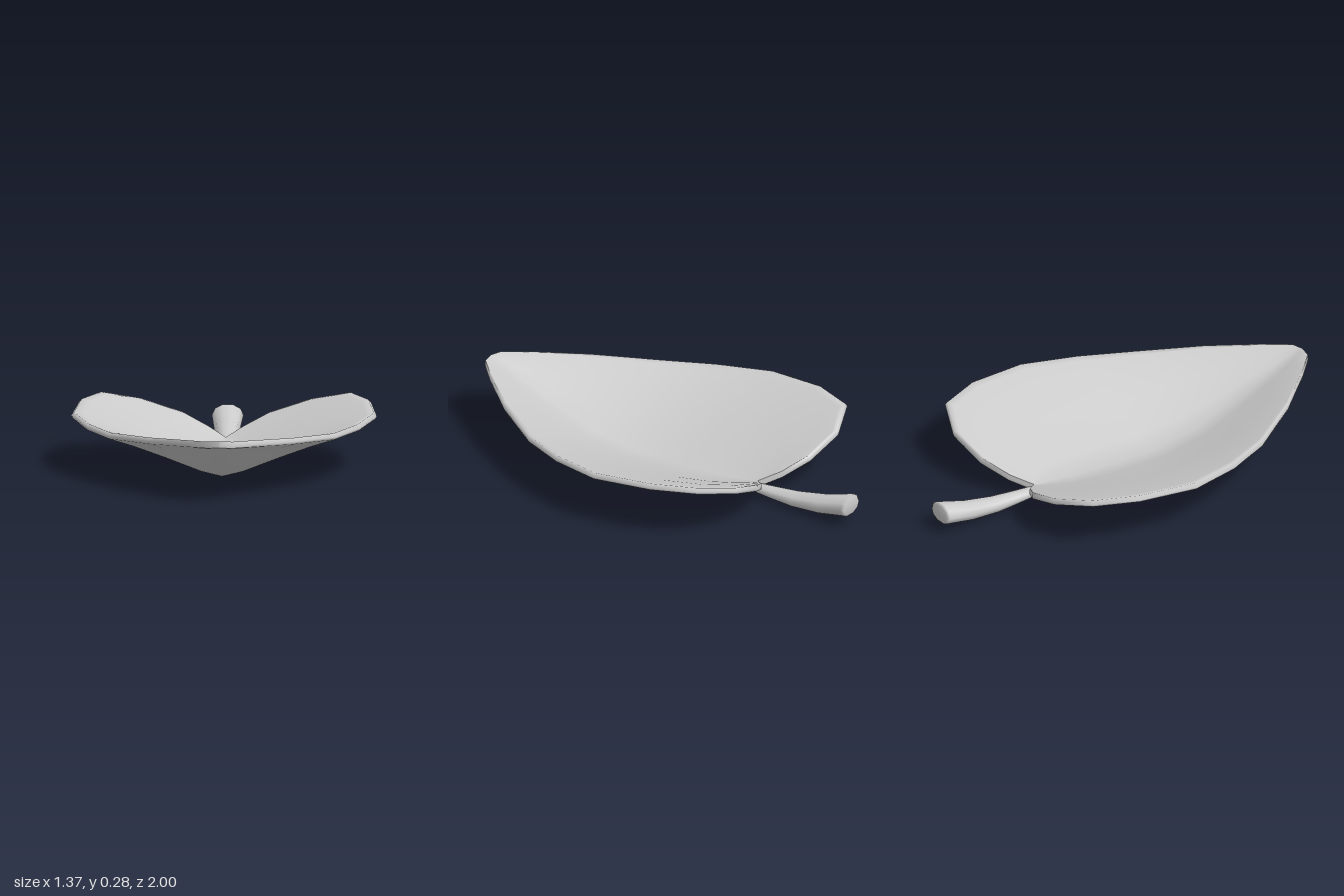
import * as THREE from 'three';

// Skins a list of closed loops, each ordered anticlockwise as seen from +z.
function loft(loops) {
  const n = loops[0].length, index = [];
  for (let i = 0; i < loops.length - 1; i++) {
    for (let j = 0; j < n; j++) {
      const k = (j + 1) % n;
      const a = i * n + j, b = i * n + k, c = a + n, d = b + n;
      index.push(a, b, c, b, d, c);
    }
  }
  const geometry = new THREE.BufferGeometry();
  geometry.setAttribute('position', new THREE.Float32BufferAttribute(loops.flat(2), 3));
  geometry.setIndex(index);
  geometry.computeVertexNormals();
  return geometry;
}

// From notch to tip: rim x, rim z, rim y, midrib z, midrib y
const ribs = [
  [0, -0.48, 0.04, -0.48, 0.04],
  [0.08, -0.56, 0.08, -0.46, 0.035],
  [0.2, -0.63, 0.135, -0.42, 0.03],
  [0.39, -0.645, 0.195, -0.36, 0.025],
  [0.57, -0.56, 0.238, -0.28, 0.018],
  [0.655, -0.36, 0.237, -0.17, 0.012],
  [0.685, -0.07, 0.222, -0.02, 0.006],
  [0.615, 0.19, 0.21, 0.17, 0],
  [0.51, 0.42, 0.205, 0.42, 0.035],
  [0.33, 0.69, 0.225, 0.7, 0.13],
  [0.15, 0.9, 0.245, 0.9, 0.21],
  [0.06, 0.99, 0.252, 0.985, 0.25],
  [0, 1, 0.255, 1, 0.255],
];

// Half section of the blade: distance from midrib, share of the rise, lift above underside
const under = [[0, 0, 0], [0.18, 0.13, 0], [0.5, 0.5, 0], [0.78, 0.8, 0], [0.93, 0.935, 0], [0.99, 0.99, 0]];
const upper = [[1, 1, 0.01], [0.98, 0.98, 0.03], [0.93, 0.935, 0.03], [0.78, 0.8, 0.03], [0.5, 0.5, 0.03], [0.18, 0.13, 0.03], [0, 0, 0.03]];

function bladeLoop([rx, rz, ry, mz, my]) {
  const place = side => ([t, f, lift]) =>
    [side * rx * t, my + (ry - my) * f + lift, mz + (rz - mz) * t];
  const right = [...under, ...upper].map(place(1));
  const left = [...under.slice(1), ...upper.slice(0, -1)].map(place(-1)).reverse();
  return [...right, ...left];
}

// Stem rings: z, centre y, half width, half height
const rings = [
  [-1, 0.09, 0, 0],
  [-1, 0.09, 0.058, 0.04],
  [-0.99, 0.09, 0.071, 0.051],
  [-0.85, 0.058, 0.06, 0.044],
  [-0.7, 0.04, 0.049, 0.036],
  [-0.58, 0.038, 0.04, 0.027],
  [-0.49, 0.038, 0.033, 0.02],
  [-0.38, 0.035, 0, 0],
];

function stemLoop([z, y, w, h]) {
  return Array.from({ length: 10 }, (_, i) => {
    const a = (i / 10) * Math.PI * 2;
    return [w * Math.cos(a), y + h * Math.sin(a), z];
  });
}

export function createModel() {
  const model = new THREE.Group();
  model.name = 'leaf';
  const material = new THREE.MeshStandardMaterial({ color: 0xcccccc });

  // Heart-shaped, folded blade
  const blade = new THREE.Mesh(loft(ribs.map(bladeLoop)), material);
  blade.name = 'blade';

  // Curved stem, thickening towards its free end
  const stem = new THREE.Mesh(loft(rings.map(stemLoop)), material);
  stem.name = 'stem';

  model.add(blade, stem);
  return model;
}
